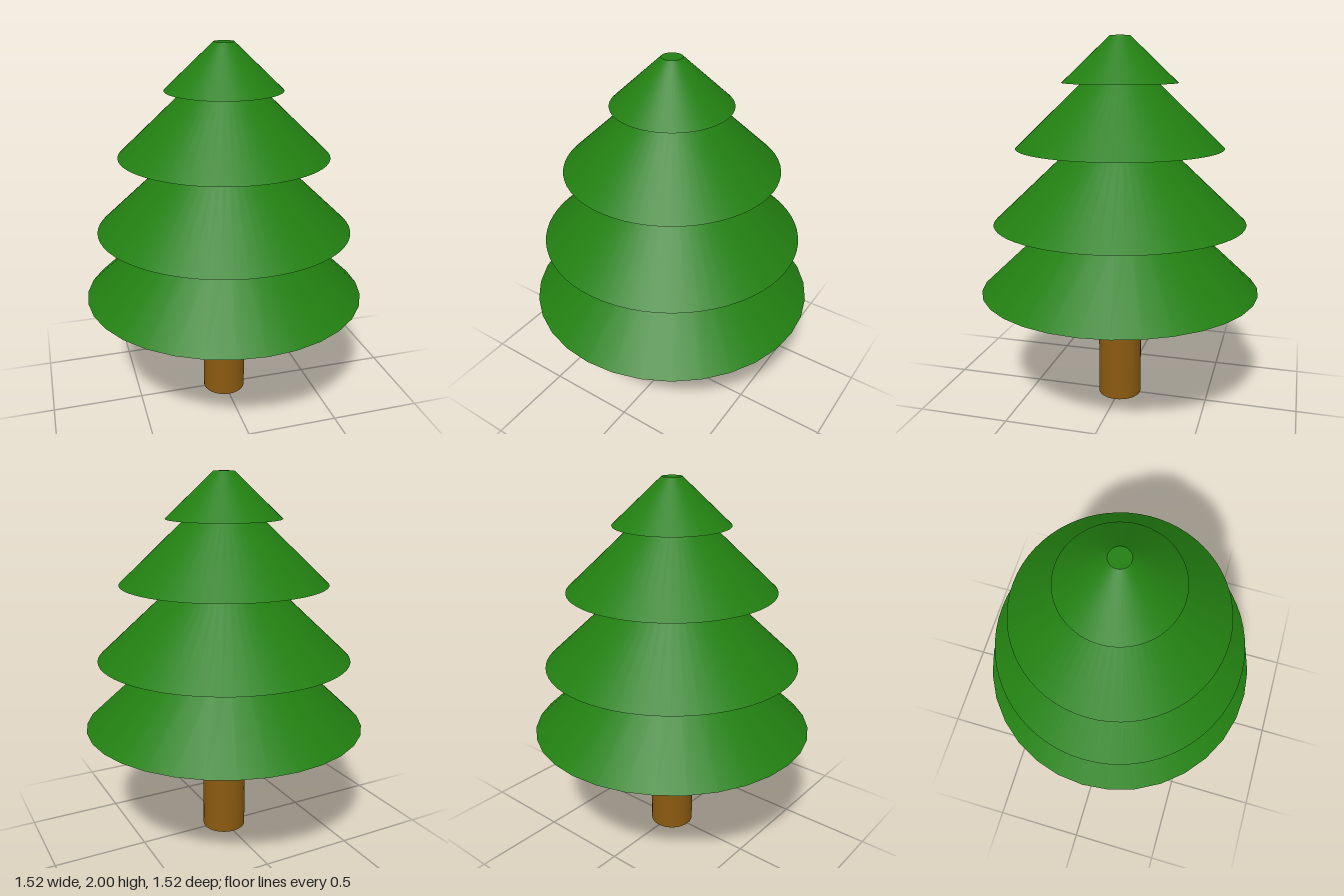
import * as THREE from 'three';

export function createModel() {
  const tree = new THREE.Group();
  tree.name = 'pineTree';
  const bark = new THREE.MeshStandardMaterial({ color: 0x8a5a10 });
  const needles = new THREE.MeshStandardMaterial({ color: 0x227f11 });

  // Closed truncated cone standing between two heights
  function frustum(name, yBottom, yTop, rBottom, rTop, sides, material) {
    const geometry = new THREE.CylinderGeometry(rTop, rBottom, yTop - yBottom, sides);
    const mesh = new THREE.Mesh(geometry, material);
    mesh.name = name;
    mesh.position.y = (yBottom + yTop) / 2;
    tree.add(mesh);
  }

  // Trunk
  frustum('trunk', 0, 0.645, 0.12, 0.12, 32, bark);

  // Foliage tiers, bottom to top: yBottom, yTop, rBottom, rTop, sides
  const tiers = [
    [0.644, 1.02, 0.762, 0.362, 32],
    [1.02, 1.423, 0.684, 0.257, 64],
    [1.423, 1.76, 0.556, 0.203, 64],
    [1.76, 2, 0.307, 0.053, 64],
  ];
  tiers.forEach((tier, i) => frustum(`foliageTier${i + 1}`, ...tier, needles));

  return tree;
}
